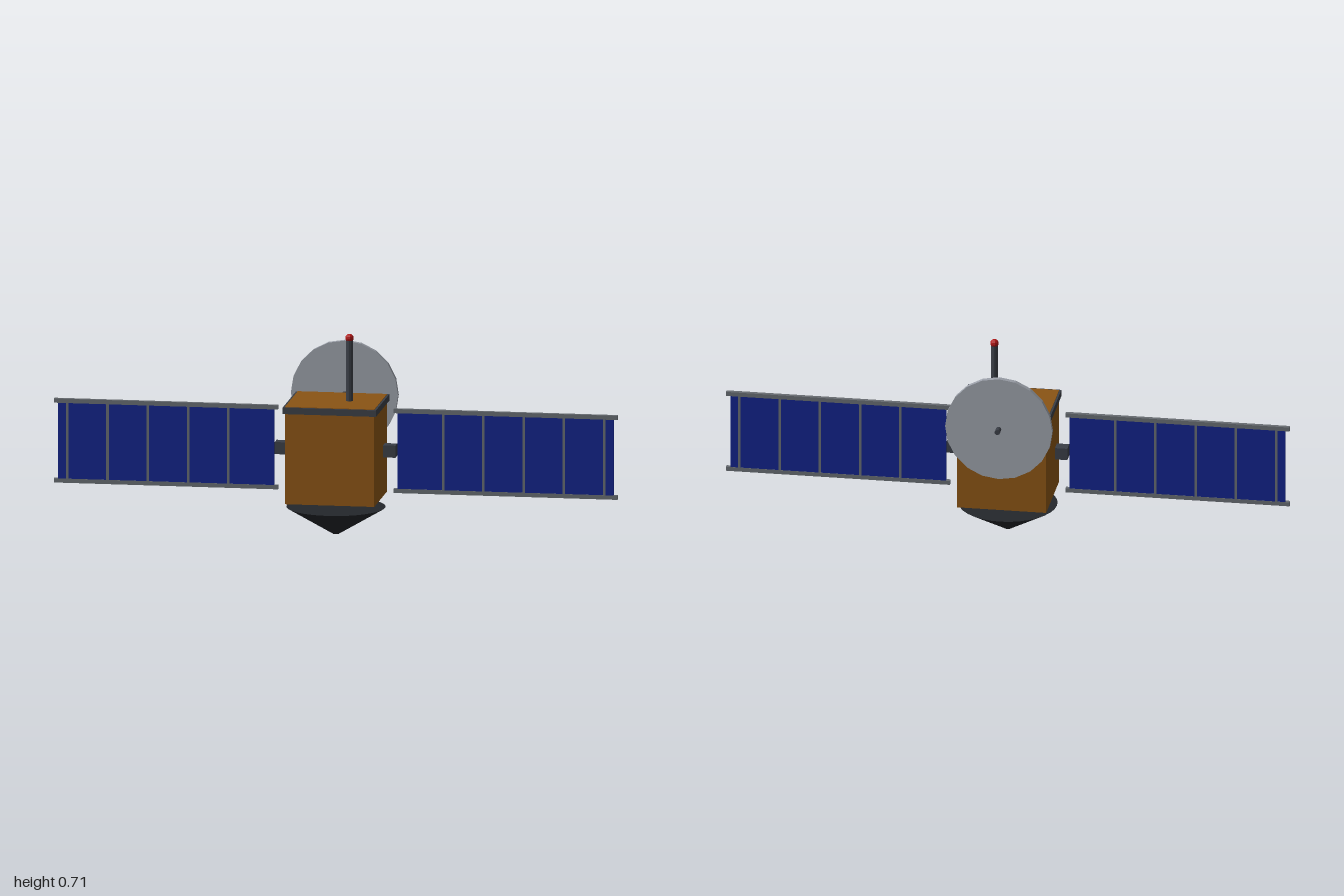
import * as THREE from 'three';

const mat = (color) => new THREE.MeshStandardMaterial({ color, flatShading: true });

export function createModel() {
  const model = new THREE.Group();
  model.name = 'satellite';
  const foil = mat(0x8a5414), dark = mat(0x3a3e46), metal = mat(0x666b70);
  const cells = mat(0x112288), dishGrey = mat(0x9a9fa8), red = mat(0xb01515);
  const nozzleMat = new THREE.MeshStandardMaterial({ color: 0x24272b });
  const CZ = 0.032; // depth of the body axis

  function add(parent, name, geometry, material, x, y, z) {
    const mesh = new THREE.Mesh(geometry, material);
    mesh.name = name;
    mesh.position.set(x, y, z);
    parent.add(mesh);
    return mesh;
  }
  const box = (w, h, d) => new THREE.BoxGeometry(w, h, d);

  // Foil-covered body with a dark rim round the top
  add(model, 'body', box(0.317, 0.348, 0.286), foil, 0, 0.302, CZ);
  add(model, 'topRim', box(0.331, 0.023, 0.3), dark, 0, 0.4625, CZ);

  // Cone floating under the body
  add(model, 'thrusterCone', new THREE.CylinderGeometry(0.174, 0.01, 0.097, 32), nozzleMat, 0, 0.0485, CZ);

  // Mast with a red beacon
  add(model, 'mast', new THREE.CylinderGeometry(0.012, 0.012, 0.24, 12), dark, 0.048, 0.58, CZ);
  add(model, 'beacon', new THREE.SphereGeometry(0.015, 10, 8), red, 0.048, 0.7, CZ);

  // Flat dish on a boom at the back
  const dish = new THREE.CylinderGeometry(0.19, 0.19, 0.019, 20).rotateX(Math.PI / 2);
  add(model, 'dish', dish, dishGrey, 0, 0.4625, -0.1645);
  const boom = new THREE.CylinderGeometry(0.0095, 0.0095, 0.105, 12).rotateX(Math.PI / 2);
  add(model, 'dishBoom', boom, dark, 0, 0.4625, -0.1525);

  // Solar wings, mirrored left and right
  for (const side of [1, -1]) {
    const wing = new THREE.Group();
    wing.name = side > 0 ? 'leftWing' : 'rightWing';
    wing.position.set(0, 0.303, CZ);
    add(wing, 'hinge', box(0.044, 0.043, 0.043), dark, side * 0.192, 0, 0);
    add(wing, 'solarPanel', box(0.765, 0.284, 0.0125), cells, side * 0.602, 0, 0);
    for (const y of [-0.1425, 0.1425]) {
      add(wing, 'rail', box(0.795, 0.015, 0.015), metal, side * 0.6025, y, 0);
    }
    for (let i = 0; i < 5; i++) {
      add(wing, 'divider', box(0.009, 0.284, 0.0138), metal, side * (0.381 + i * 0.1428), 0, 0);
    }
    model.add(wing);
  }
  return model;
}
